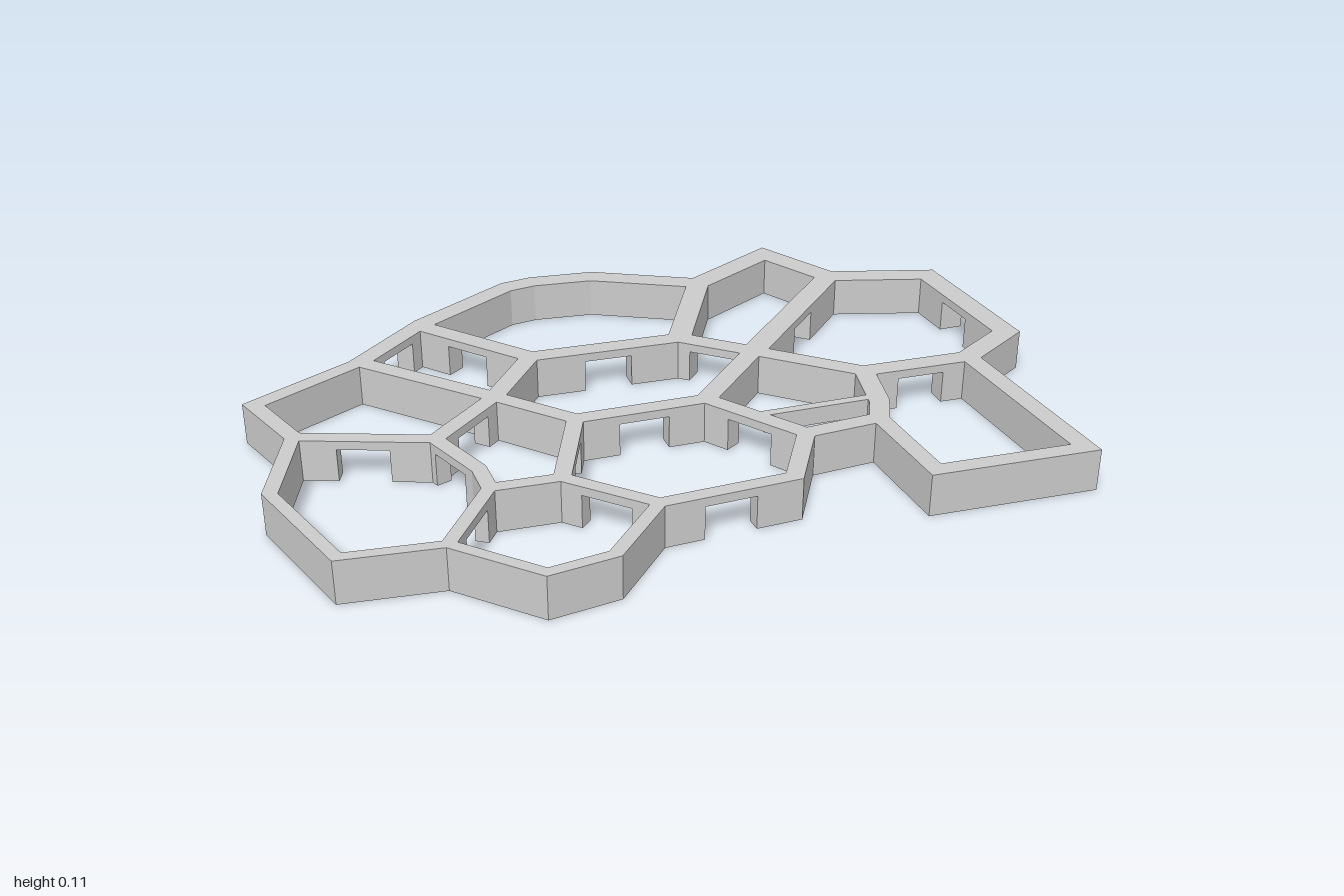
import * as THREE from 'three';

const HEIGHT = 0.105, DOOR_HEIGHT = 0.083, DOOR_HALF = 0.062;

// Wall junctions in plan as [x, z]: lower case on the rim, upper case inside
const NODES = {
  a: [-.97, -.195], b: [-.69, -.355], c: [-.505, -.535], d: [-.22, -.72], e: [-.14, -.735], f: [.03, -.72],
  g: [.305, -.575], h: [.565, -.725], i: [.675, -.505], j: [.95, -.425], k: [.965, 0], l: [.795, .107],
  m: [.813, .63], n: [.44, .615], o: [.43, .345], p: [.235, .36], q: [.13, .54], r: [-.19, .555],
  s: [-.34, .72], t: [-.49, .742], u: [-.655, .575], v: [-.88, .552], w: [-.98, .25], x: [-.9, 0],
  A: [-.27, -.25], B: [.13, -.238], C: [.285, -.1], D: [-.41, -.055], E: [-.255, .12], F: [.075, .12],
  G: [.505, .1], H: [-.59, .115], I: [-.525, .285], J: [-.522, .375], K: [-.36, .382], L: [.468, .265],
};

// Junctions around the rim and around every open cell
const RIM = 'abcdefghijklmnopqrstuvwx';
const CELLS = ['cdefgBA', 'bcAD', 'abDHx', 'xHIJuvw', 'DEKJIH', 'JKrstu',
  'EFpqrK', 'ABCFED', 'ghiCB', 'ijklGC', 'GlmnoL', 'FCGLop'];

// Walls with a doorway cut up from below at mid length
const DOORS = ['qr', 'jk', 'bc', 'xH', 'HI', 'Ju', 'Kr', 'EK', 'DH', 'EF', 'AB', 'BC', 'Ac', 'Ci', 'Gl', 'Fp'];

// Plan points use -z as the second axis so an upright extrusion lands on z
const point = id => new THREE.Vector2(NODES[id][0], -NODES[id][1]);

// Outline of a ring of junctions, moved off the wall centrelines by half the wall thickness
function makeLoop(ring, clockwise) {
  const ids = [...ring];
  if (THREE.ShapeUtils.isClockWise(ids.map(point)) !== clockwise) ids.reverse();
  const edges = ids.map((id, i) => {
    const to = ids[(i + 1) % ids.length], a = point(id), b = point(to);
    const mid = a.clone().add(b).multiplyScalar(0.5), dir = b.clone().sub(a).normalize();
    // Walls get thicker towards the back right
    const half = (0.05 + 0.012 * mid.x + 0.022 * mid.y) / 2;
    const door = DOORS.find(d => d === id + to || d === to + id);
    return { a, mid, dir, half, door, n: new THREE.Vector2(dir.y, -dir.x) };
  });
  edges.forEach((e, i) => {
    const p = edges.at(i - 1), det = p.n.cross(e.n);
    e.corner = new THREE.Vector2((p.half * e.n.y - e.half * p.n.y) / det,
      (e.half * p.n.x - p.half * e.n.x) / det).add(e.a);
  });
  return edges;
}

const corners = loop => loop.map(e => e.corner);

function extrude(shapes, y0, y1) {
  const geo = new THREE.ExtrudeGeometry(shapes, { depth: y1 - y0, bevelEnabled: false });
  return geo.rotateX(-Math.PI / 2).translate(0, y0, 0);
}

function inside(p, ring) {
  let hit = false;
  ring.forEach((a, i) => {
    const b = ring[(i + 1) % ring.length];
    if ((a.y > p.y) !== (b.y > p.y) && p.x < a.x + (b.x - a.x) * (p.y - a.y) / (b.y - a.y)) hit = !hit;
  });
  return hit;
}

// Footprints left when the wall network is cut at every doorway
function cutFootprints(loops) {
  const gaps = {}, next = new Map();
  // Jamb positions on both faces of each wall with a doorway
  for (const loop of loops) {
    loop.forEach((e, i) => {
      if (!e.door) return;
      const len = e.corner.distanceTo(loop[(i + 1) % loop.length].corner);
      const t = e.mid.clone().sub(e.corner).dot(e.dir);
      const at = s => e.corner.clone().addScaledVector(e.dir, THREE.MathUtils.clamp(s, 0.004, len - 0.004));
      e.gap = { start: at(t - DOOR_HALF), end: at(t + DOOR_HALF) };
      (gaps[e.door] ??= []).push(e.gap);
    });
  }
  // Link each corner to the following one, crossing the wall at doorways
  for (const loop of loops) {
    loop.forEach((e, i) => {
      const to = loop[(i + 1) % loop.length].corner;
      if (e.gap) {
        next.set(e.corner, e.gap.start);
        next.set(e.gap.start, gaps[e.door].find(g => g !== e.gap).end);
      }
      next.set(e.gap ? e.gap.end : e.corner, to);
    });
  }
  // Follow the links into closed rings, then put each hole into its piece
  const seen = new Set(), solids = [], holes = [];
  for (const first of next.keys()) {
    const ring = [];
    for (let p = first; !seen.has(p); p = next.get(p)) {
      seen.add(p);
      ring.push(p);
    }
    if (ring.length) (THREE.ShapeUtils.isClockWise(ring) ? holes : solids).push(ring);
  }
  solids.sort((p, q) => THREE.ShapeUtils.area(p) - THREE.ShapeUtils.area(q));
  const shapes = solids.map(ring => new THREE.Shape(ring));
  for (const hole of holes) {
    const owner = solids.findIndex(ring => inside(hole[0], ring));
    shapes[owner].holes.push(new THREE.Path(hole));
  }
  return shapes;
}

export function createModel() {
  const group = new THREE.Group();
  const material = new THREE.MeshStandardMaterial({ color: 0xcccccc, flatShading: true });
  const add = (name, geo) => {
    const mesh = new THREE.Mesh(geo, material);
    mesh.name = name;
    group.add(mesh);
  };
  const rim = makeLoop(RIM, false), cells = CELLS.map(c => makeLoop(c, true));

  // Unbroken band along the top of all walls
  const band = new THREE.Shape(corners(rim));
  band.holes = cells.map(c => new THREE.Path(corners(c)));
  add('wallTops', extrude(band, DOOR_HEIGHT, HEIGHT));

  // Lower walls, interrupted by the doorways
  add('lowerWalls', extrude(cutFootprints([rim, ...cells]), 0, DOOR_HEIGHT));

  // Thin bridge across the small cell
  const bridge = new THREE.BoxGeometry(0.29, 0.045, 0.024);
  add('bridge', bridge.translate(0.32, HEIGHT - 0.0225, 0.238));
  return group;
}
